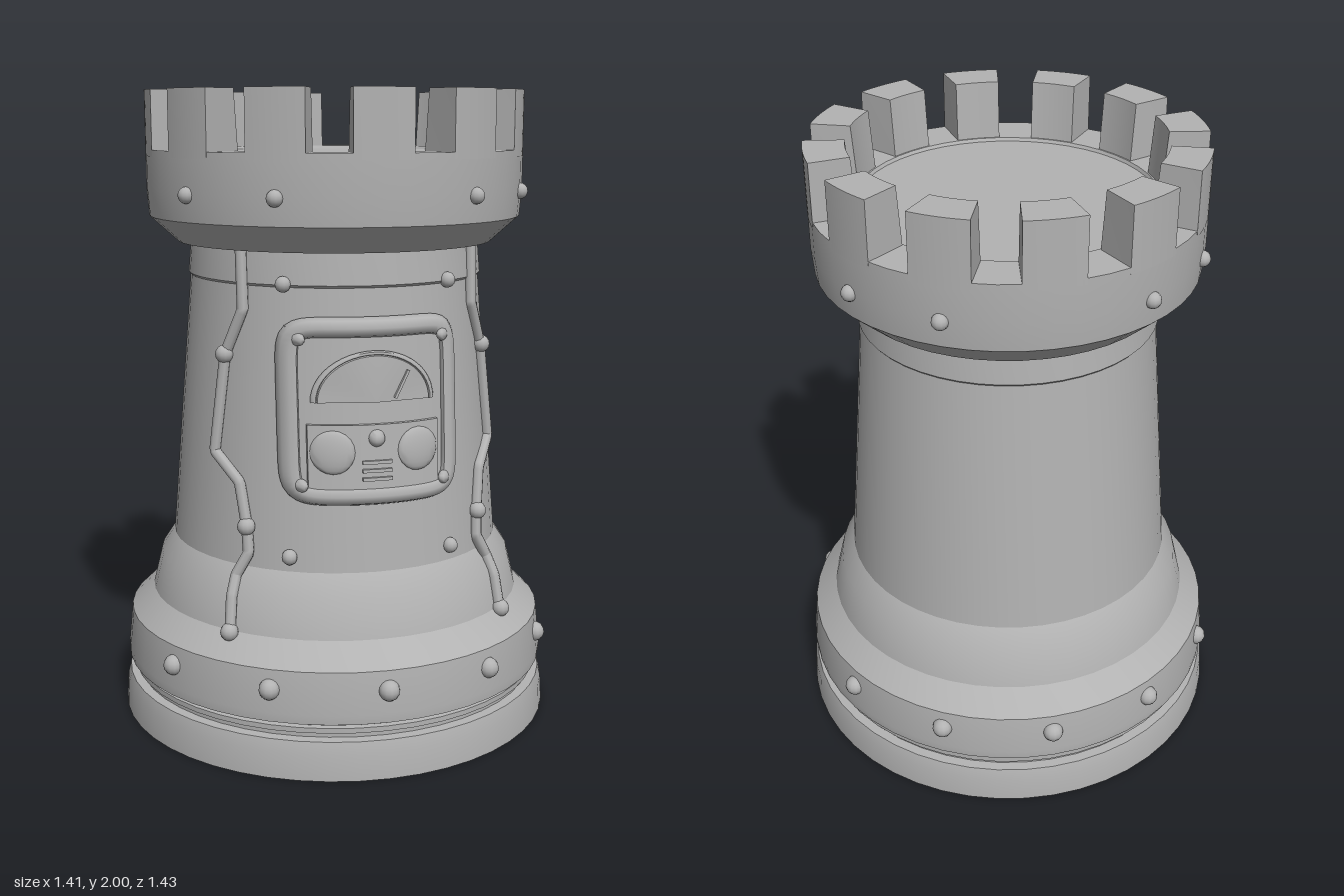
import * as THREE from 'three';
import { toCreasedNormals } from 'three/addons/utils/BufferGeometryUtils.js';

const stone = new THREE.MeshStandardMaterial({ color: 0xb2b2b2 });
stone.name = 'grey stone';

const DEG = Math.PI / 180;

// Outer profile of the tower body, [radius, height] from the ground up
const BODY = [
  [0, 0], [0.705, 0], [0.7, 0.08], [0.69, 0.118], [0.66, 0.12], [0.66, 0.135], [0.672, 0.137],
  [0.672, 0.153], [0.655, 0.155], [0.655, 0.166], [0.69, 0.172], [0.692, 0.2], [0.678, 0.33],
  [0.605, 0.4], [0.575, 0.52], [0.532, 0.585], [0.462, 1.43], [0.468, 1.437], [0.458, 1.55],
];
const CROWN = [
  [0.4, 1.532], [0.5, 1.535], [0.588, 1.615], [0.595, 1.7], [0.595, 1.82],
  [0.455, 1.82], [0.45, 1.81], [0, 1.81],
];

// Radius of the body at a height
function radiusAt(y) {
  for (let i = 1; i < BODY.length; i++) {
    const [r0, y0] = BODY[i - 1], [r1, y1] = BODY[i];
    if (y <= y1 && y1 > y0) return r0 + (r1 - r0) * (y - y0) / (y1 - y0);
  }
  return 0.458;
}

function onSurface(angle, y, offset = 0) {
  const r = radiusAt(y) + offset;
  return new THREE.Vector3(r * Math.sin(angle * DEG), y, r * Math.cos(angle * DEG));
}

function add(parent, name, geometry) {
  const mesh = new THREE.Mesh(geometry, stone);
  mesh.name = name;
  parent.add(mesh);
  return mesh;
}

function lathe(profile) {
  const geo = new THREE.LatheGeometry(profile.map(([r, y]) => new THREE.Vector2(r, y)), 48);
  return toCreasedNormals(geo, 25 * DEG);
}

function rivet(parent, name, position, size) {
  add(parent, name, new THREE.SphereGeometry(size, 12, 8)).position.copy(position);
}

// Bend a flat piece (x, y, depth) round the front of the tower
function wrap(geo, crease = 40) {
  const p = geo.attributes.position;
  for (let i = 0; i < p.count; i++) {
    const x = p.getX(i), r = radiusAt(p.getY(i));
    p.setZ(i, Math.sqrt(r * r - x * x) + p.getZ(i));
  }
  return toCreasedNormals(geo, crease * DEG);
}

// One crenellation block: a sector of a ring pulled upwards
function merlonGeometry() {
  const half = 8.6 * DEG, mid = -Math.PI / 2;
  const shape = new THREE.Shape();
  shape.absarc(0, 0, 0.595, mid - half, mid + half, false);
  shape.absarc(0, 0, 0.458, mid + half, mid - half, true);
  shape.closePath();
  const geo = new THREE.ExtrudeGeometry(shape, { depth: 0.2, bevelEnabled: false, curveSegments: 4 });
  geo.rotateX(-Math.PI / 2).translate(0, 1.8, 0);
  // Pull the inner top edge slightly outwards
  const p = geo.attributes.position;
  for (let i = 0; i < p.count; i++) {
    if (p.getY(i) > 1.9 && p.getZ(i) < 0.5) p.setZ(i, p.getZ(i) + 0.015);
  }
  return toCreasedNormals(geo, 30 * DEG);
}

// Framed instrument panel on the front
function buildPanel() {
  const panel = new THREE.Group();
  panel.name = 'instrumentPanel';

  const framePoints = [];
  for (let i = 0; i < 64; i++) {
    const c = Math.cos(i / 64 * Math.PI * 2), s = Math.sin(i / 64 * Math.PI * 2);
    const curve = (v) => 0.247 * Math.sign(v) * Math.abs(v) ** 0.22;
    framePoints.push(new THREE.Vector3(curve(c), 1.07 + curve(s), 0.008));
  }
  const path = new THREE.CatmullRomCurve3(framePoints, true);
  add(panel, 'panelFrame', wrap(new THREE.TubeGeometry(path, 120, 0.031, 8, true), 60));

  const back = new THREE.BoxGeometry(0.5, 0.5, 0.03, 16, 8, 1).translate(0, 1.07, 0);
  add(panel, 'panelBack', wrap(back));

  // Gauge window with its arched rim and needle
  const gauge = new THREE.CylinderGeometry(0.17, 0.18, 0.03, 24, 1, false, Math.PI / 2, Math.PI);
  gauge.rotateX(Math.PI / 2).scale(1, 0.8, 1).translate(0, 1.1, 0.015);
  add(panel, 'gaugeFace', wrap(gauge));
  const rim = new THREE.TorusGeometry(0.18, 0.009, 6, 24, Math.PI).scale(1, 0.8, 1).translate(0, 1.1, 0.022);
  add(panel, 'gaugeRim', wrap(rim, 60));
  const needle = new THREE.BoxGeometry(0.008, 0.09, 0.012, 1, 4, 1).rotateZ(-0.5).translate(0.08, 1.15, 0.032);
  add(panel, 'gaugeNeedle', wrap(needle));

  // Lower cover with dials, knob and vent slots
  const cover = new THREE.BoxGeometry(0.4, 0.19, 0.04, 16, 6, 1).translate(0, 0.94, 0.01);
  add(panel, 'lowerCover', wrap(cover));
  for (const side of [-1, 1]) {
    const dial = new THREE.SphereGeometry(0.065, 20, 10).scale(1, 1, 0.25).translate(side * 0.13, 0.955, 0.03);
    add(panel, 'dial', wrap(dial, 60));
    for (const y of [0.855, 1.285]) {
      const screw = new THREE.SphereGeometry(0.02, 10, 8).translate(side * 0.22, y, 0.03);
      add(panel, 'panelScrew', wrap(screw, 60));
    }
  }
  const knob = new THREE.SphereGeometry(0.026, 14, 10).translate(0, 0.995, 0.025);
  add(panel, 'knob', wrap(knob, 60));
  for (const y of [0.875, 0.9, 0.925]) {
    const slot = new THREE.BoxGeometry(0.09, 0.01, 0.012, 4, 1, 1).translate(0, y, 0.033);
    add(panel, 'ventSlot', wrap(slot));
  }
  return panel;
}

// Bent pipe running down the front corner; side is +1 (left) or -1 (right)
function buildPipe(side) {
  const pipe = new THREE.Group();
  pipe.name = side > 0 ? 'leftPipe' : 'rightPipe';
  const bends = [
    [50, 1.54], [48.5, 1.36], [56, 1.22], [59, 0.92], [47, 0.84], [43.5, 0.71],
    [42.5, 0.63], [46, 0.56], [45.5, 0.5], [44.5, 0.4],
  ];
  const path = new THREE.CurvePath();
  for (let i = 1; i < bends.length; i++) {
    const [a0, y0] = bends[i - 1], [a1, y1] = bends[i];
    path.add(new THREE.LineCurve3(onSurface(side * a0, y0, 0.008), onSurface(side * a1, y1, 0.008)));
  }
  add(pipe, 'pipeRun', new THREE.TubeGeometry(path, 110, 0.018, 8, false));
  for (const [a, y] of [bends[2], bends[5], bends[9]]) {
    rivet(pipe, 'pipeJoint', onSurface(side * a, y, 0.012), 0.028);
  }
  return pipe;
}

export function createModel() {
  const model = new THREE.Group();
  model.name = 'rookTower';

  add(model, 'towerBody', lathe(BODY));
  add(model, 'crown', lathe(CROWN));

  // Battlements
  const merlon = merlonGeometry();
  for (let i = 0; i < 12; i++) add(model, 'merlon', merlon).rotation.y = i * 30 * DEG;

  // Rivets round the base and the crown
  for (let a = 0; a < 360; a += 30) {
    if (a % 180 !== 90) rivet(model, 'baseRivet', onSurface(a, 0.27, -0.002), 0.032);
    if (a % 90 !== 0) {
      const s = Math.sin(a * DEG), c = Math.cos(a * DEG);
      rivet(model, 'crownRivet', new THREE.Vector3(0.595 * s, 1.695, 0.595 * c), 0.025);
    }
  }

  // Rivets above and below the panel
  for (const x of [-0.25, 0.25]) {
    for (const y of [0.63, 1.44]) {
      const angle = Math.asin(x / radiusAt(y)) / DEG;
      rivet(model, 'wallRivet', onSurface(angle, y, 0.004), 0.024);
    }
  }

  model.add(buildPanel(), buildPipe(1), buildPipe(-1));
  return model;
}
